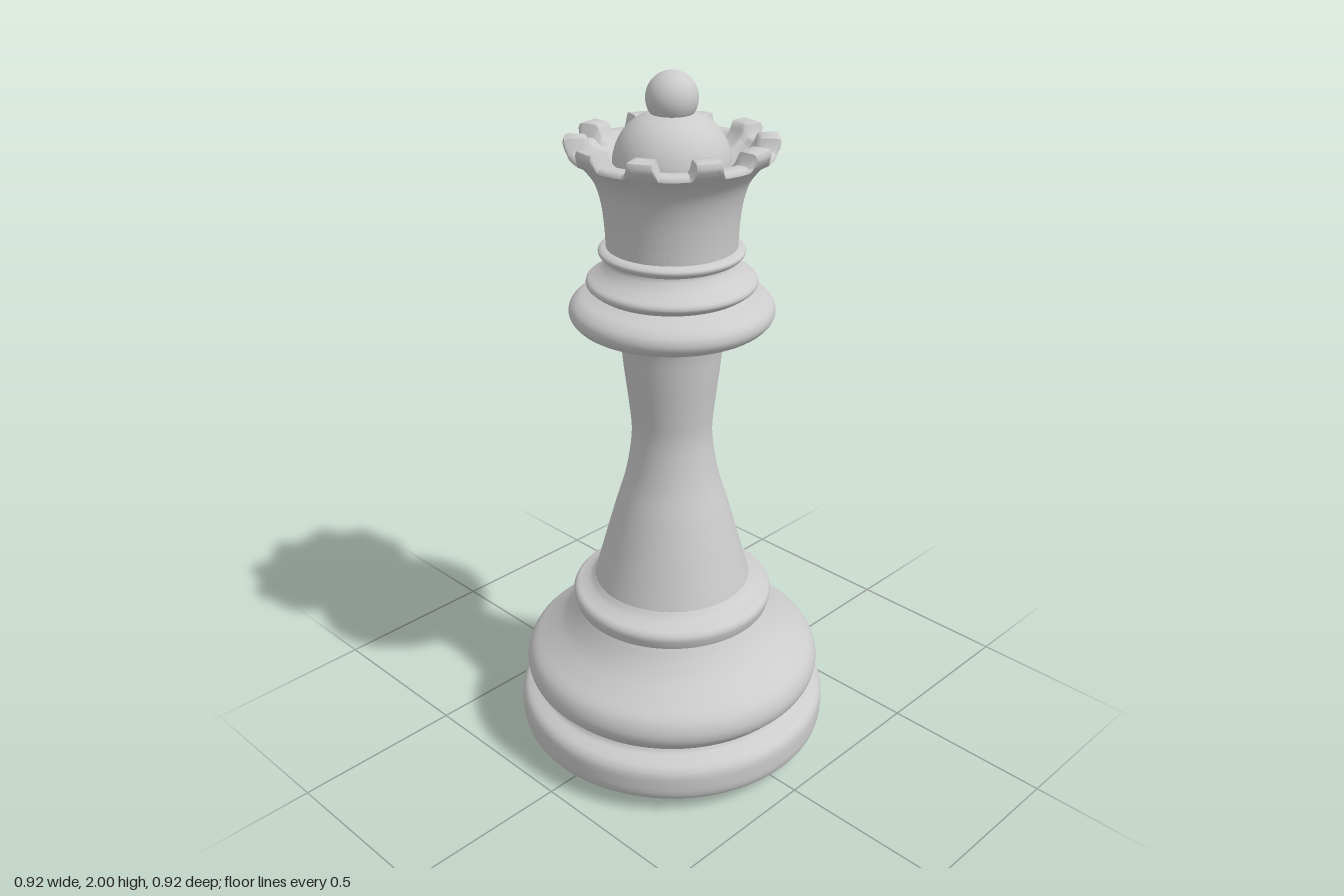
import * as THREE from 'three';
import { mergeVertices, toCreasedNormals } from 'three/addons/utils/BufferGeometryUtils.js';

const material = new THREE.MeshStandardMaterial({ color: 0xcccccc });

// Smooth curve through [radius, height] points
function smoothProfile(points, steps = 4) {
  const curve = new THREE.CatmullRomCurve3(points.map(([r, y]) => new THREE.Vector3(r, y, 0)));
  const n = (points.length - 1) * steps;
  return curve.getPoints(n).map((p) => new THREE.Vector2(Math.max(p.x, 0), p.y));
}

function turned(name, points) {
  const mesh = new THREE.Mesh(new THREE.LatheGeometry(smoothProfile(points), 96), material);
  mesh.name = name;
  return mesh;
}

// Flared crown: a turned ring whose rim is cut down between ten teeth
function makeCrown() {
  const profile = smoothProfile([[0.175, 1.545], [0.178, 1.6], [0.187, 1.67], [0.205, 1.725],
    [0.235, 1.765], [0.266, 1.795], [0.276, 1.81]]);
  profile.push(...[[0.279, 1.822], [0.275, 1.833], [0.267, 1.836], [0.247, 1.836], [0.228, 1.836],
    [0.221, 1.832], [0.215, 1.818], [0.207, 1.803], [0.19, 1.785], [0.165, 1.77], [0.13, 1.768]]
    .map(([r, y]) => new THREE.Vector2(r, y)));
  let geometry = new THREE.LatheGeometry(profile, 240);
  const pos = geometry.attributes.position;
  const spacing = Math.PI / 5;
  const offset = THREE.MathUtils.degToRad(10);
  for (let i = 0; i < pos.count; i++) {
    const x = pos.getX(i), y = pos.getY(i), z = pos.getZ(i);
    const turn = (Math.atan2(-z, x) - offset) / spacing;
    const away = Math.abs(turn - Math.round(turn)) * 36; // degrees from tooth centre
    const notch = THREE.MathUtils.smoothstep(away, 6.5, 9.5);
    const height = THREE.MathUtils.smoothstep(y, 1.77, 1.836);
    const r = Math.hypot(x, z);
    const inset = r > 0.24 ? 1 - 0.05 * notch * height : 1;
    pos.setXYZ(i, x * inset, y - 0.033 * notch * height, z * inset);
  }
  geometry.deleteAttribute('uv');
  geometry.deleteAttribute('normal');
  geometry = toCreasedNormals(mergeVertices(geometry, 1e-5), 0.8);
  const mesh = new THREE.Mesh(geometry, material);
  mesh.name = 'crown';
  return mesh;
}

export function createModel() {
  const model = new THREE.Group();
  model.name = 'chessQueen';

  // Foot, with a slightly bulging underside
  model.add(
    turned('underside', [[0, 0.012], [0.1, 0.014], [0.25, 0.022], [0.36, 0.031], [0.425, 0.042]]),
    turned('foot', [[0.425, 0.042], [0.445, 0.052], [0.455, 0.072], [0.458, 0.105], [0.456, 0.14],
      [0.445, 0.158], [0.425, 0.17], [0.405, 0.18], [0.398, 0.19]]),
    turned('bottomKnob', [[0, 0.012], [0.02, 0.003], [0.035, 0.001], [0.05, 0.006], [0.056, 0.017]]),
  );

  // Bulging base and the ring above it
  model.add(
    turned('base', [[0.398, 0.19], [0.412, 0.205], [0.43, 0.228], [0.436, 0.26], [0.422, 0.3],
      [0.375, 0.34], [0.33, 0.38], [0.3, 0.42], [0.283, 0.45]]),
    turned('baseRing', [[0.283, 0.45], [0.288, 0.465], [0.291, 0.485], [0.283, 0.499], [0.262, 0.508],
      [0.24, 0.52], [0.226, 0.535]]),
  );

  // Waisted stem
  model.add(turned('stem', [[0.235, 0.5], [0.222, 0.55], [0.2, 0.63], [0.178, 0.71], [0.155, 0.79],
    [0.134, 0.86], [0.119, 0.94], [0.113, 1.01], [0.12, 1.09], [0.132, 1.19], [0.143, 1.28], [0.155, 1.312]]));

  // Stacked collars
  model.add(
    turned('lowerCollar', [[0.14, 1.312], [0.18, 1.314], [0.23, 1.321], [0.262, 1.335], [0.278, 1.358],
      [0.275, 1.382], [0.255, 1.402], [0.225, 1.414], [0.206, 1.422]]),
    turned('middleCollar', [[0.206, 1.422], [0.218, 1.43], [0.23, 1.442], [0.228, 1.454],
      [0.208, 1.468], [0.188, 1.484], [0.175, 1.502], [0.173, 1.51]]),
    turned('upperCollar', [[0.173, 1.51], [0.185, 1.516], [0.195, 1.526], [0.196, 1.534],
      [0.188, 1.541], [0.17, 1.546]]),
  );

  model.add(makeCrown());

  // Dome and ball on top
  model.add(turned('dome', [[0.155, 1.765], [0.152, 1.79], [0.141, 1.823], [0.122, 1.853],
    [0.092, 1.879], [0.05, 1.896], [0, 1.902]]));
  const ball = new THREE.Mesh(new THREE.SphereGeometry(0.068, 48, 32), material);
  ball.name = 'ball';
  ball.position.y = 1.932;
  model.add(ball);

  return model;
}
